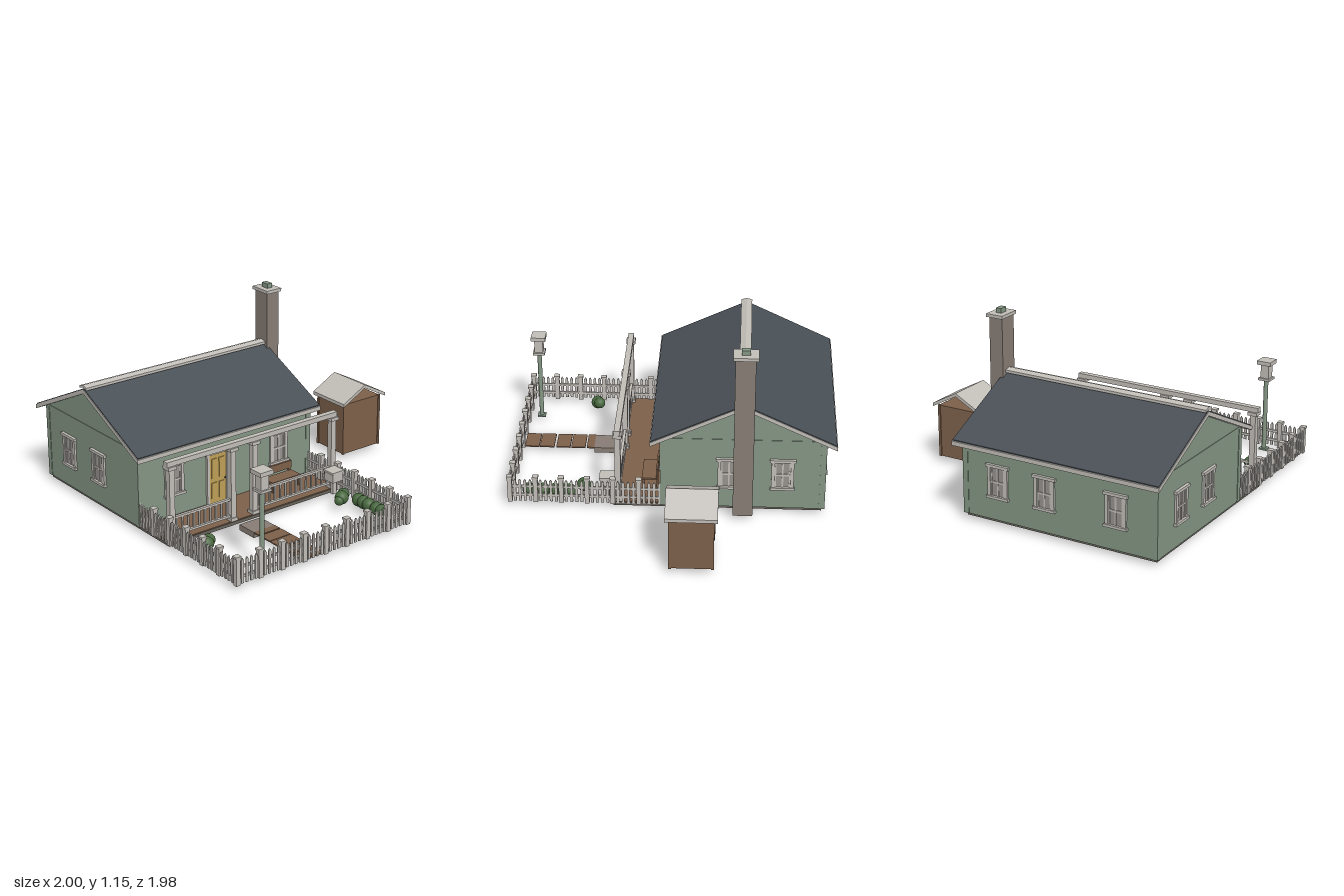
import * as THREE from 'three';

const mat = (name, color) => Object.assign(new THREE.MeshStandardMaterial({ color }), { name });

export function createModel() {
  const M = {
    wall: mat('sage wall', 0x849684), trim: mat('pale trim', 0xc2beb8), roof: mat('slate roof', 0x495056),
    wood: mat('brown wood', 0x7d604a), stone: mat('chimney stone', 0x877d75), door: mat('gold door', 0xbf9f57),
    glass: mat('window glass', 0x96928e), base: mat('foundation', 0x69635c), leaf: mat('foliage', 0x48683f),
    knob: mat('dark metal', 0x45423f),
  };
  const root = new THREE.Group();
  root.name = 'cottage';

  const group = (name, parent = root) => {
    const g = new THREE.Group();
    g.name = name;
    parent.add(g);
    return g;
  };
  const add = (parent, name, geo, m, x = 0, y = 0, z = 0) => {
    const mesh = new THREE.Mesh(geo, m);
    mesh.name = name;
    mesh.position.set(x, y, z);
    parent.add(mesh);
    return mesh;
  };
  // box given by its limits on each axis
  const box = (parent, name, m, x0, x1, y0, y1, z0, z1) =>
    add(parent, name, new THREE.BoxGeometry(x1 - x0, y1 - y0, z1 - z0), m, (x0 + x1) / 2, (y0 + y1) / 2, (z0 + z1) / 2);
  // outline of [z, y] points swept from x0 to x1
  const prismX = (parent, name, m, pts, x0, x1) => {
    const g = new THREE.ExtrudeGeometry(new THREE.Shape(pts.map(p => new THREE.Vector2(...p))), { depth: x1 - x0, bevelEnabled: false });
    return add(parent, name, g.rotateY(-Math.PI / 2).translate(x1, 0, 0), m);
  };
  // inverted V: centre c, half span h, top at the ridge, drop per unit, thickness t
  const chevron = (c, h, ridge, slope, t) => [
    [c - h, ridge - slope * h - t], [c, ridge - t], [c + h, ridge - slope * h - t],
    [c + h, ridge - slope * h], [c, ridge], [c - h, ridge - slope * h]];

  // House body
  const house = group('house');
  const X0 = -0.96, X1 = 0.32, Z0 = -0.925, Z1 = 0.06, ZC = -0.433, SL = 0.475;
  box(house, 'foundation', M.base, -0.95, 0.31, 0.022, 0.042, -0.91, 0.345);
  prismX(house, 'walls', M.wall, [[Z0, 0.04], [Z1, 0.04], [Z1, 0.5], [ZC, 0.735], [Z0, 0.5]], X0, X1);
  for (const x of [X0, X1]) for (const z of [Z0, Z1]) {
    const sx = Math.sign(x - (X0 + X1) / 2), sz = Math.sign(z - ZC);
    add(house, 'cornerBoard', new THREE.BoxGeometry(0.035, 0.46, 0.035), M.wall, x - sx * 0.0145, 0.27, z - sz * 0.0145);
  }
  for (const x of [X0, X1]) box(house, 'gableBand', M.wall, x - 0.003, x + 0.003, 0.5, 0.512, Z0 + 0.02, Z1 - 0.02);

  // Roof
  const roof = group('roof');
  prismX(roof, 'roofBoards', M.trim, chevron(ZC, 0.555, 0.758, SL, 0.026), -1, 0.355);
  prismX(roof, 'roofShingles', M.roof, chevron(ZC, 0.55, 0.764, SL, 0.006), -0.996, 0.351);
  prismX(roof, 'ridgeCap', M.trim, chevron(ZC, 0.035, 0.786, 0.3, 0.016), -1, 0.355);

  // Chimney
  const chimney = group('chimney');
  box(chimney, 'chimneyStack', M.stone, 0.33, 0.42, 0.04, 1.1, -0.495, -0.376);
  box(chimney, 'chimneyCap', M.trim, 0.32, 0.432, 1.097, 1.117, -0.51, -0.363);
  box(chimney, 'chimneyPot', M.wall, 0.358, 0.394, 1.117, 1.146, -0.463, -0.41);

  // Windows, built facing +z and turned to their wall
  const addWindow = (x, z, turn) => {
    const w = group('window', house);
    box(w, 'glass', M.glass, -0.052, 0.052, 0.19, 0.365, 0, 0.004);
    for (const s of [-1, 1]) box(w, 'casing', M.trim, s * 0.057 - 0.01, s * 0.057 + 0.01, 0.185, 0.37, 0, 0.012);
    box(w, 'header', M.trim, -0.077, 0.077, 0.365, 0.383, 0, 0.018);
    box(w, 'sill', M.trim, -0.074, 0.074, 0.175, 0.191, 0, 0.02);
    box(w, 'meetingRail', M.trim, -0.05, 0.05, 0.27, 0.282, 0, 0.009);
    box(w, 'mullion', M.trim, -0.005, 0.005, 0.19, 0.365, 0, 0.008);
    for (const s of [-1, 1]) box(w, 'sashSide', M.trim, s * 0.042 - 0.004, s * 0.042 + 0.004, 0.19, 0.365, 0, 0.008);
    w.position.set(x, 0, z);
    w.rotation.y = turn;
  };
  for (const x of [-0.71, 0.07]) addWindow(x, Z1, 0);
  for (const x of [-0.70, -0.235, 0.08]) addWindow(x, Z0, Math.PI);
  for (const z of [-0.35, -0.67]) {
    addWindow(X1, z, Math.PI / 2);
    addWindow(X0, z, -Math.PI / 2);
  }

  // Front door
  const door = group('frontDoor');
  box(door, 'doorLeaf', M.door, -0.46, -0.335, 0.045, 0.365, Z1, Z1 + 0.01);
  for (const [y0, y1] of [[0.075, 0.18], [0.21, 0.335]])
    for (const x of [-0.425, -0.37]) box(door, 'doorPanel', M.door, x - 0.019, x + 0.019, y0, y1, Z1, Z1 + 0.015);
  for (const x of [-0.468, -0.327]) box(door, 'doorCasing', M.trim, x - 0.009, x + 0.009, 0.045, 0.37, Z1, Z1 + 0.015);
  box(door, 'doorHeader', M.trim, -0.485, -0.31, 0.365, 0.383, Z1, Z1 + 0.02);
  add(door, 'doorKnob', new THREE.SphereGeometry(0.006, 10, 8), M.knob, -0.345, 0.195, Z1 + 0.017);

  // Porch: deck, posts, beam, railings
  const porch = group('porch');
  box(porch, 'porchDeck', M.wood, -0.945, 0.305, 0.034, 0.046, Z1, 0.34);
  const posts = [-0.915, -0.48, -0.32, 0.28], PZ = 0.318;
  for (const x of posts) {
    box(porch, 'porchPost', M.trim, x - 0.018, x + 0.018, 0.045, 0.515, PZ - 0.018, PZ + 0.018);
    box(porch, 'postCap', M.trim, x - 0.029, x + 0.029, 0.487, 0.508, PZ - 0.029, PZ + 0.029);
    box(porch, 'postFoot', M.trim, x - 0.025, x + 0.025, 0.045, 0.065, PZ - 0.025, PZ + 0.025);
  }
  box(porch, 'porchBeam', M.trim, -0.948, 0.305, 0.508, 0.538, PZ - 0.018, PZ + 0.018);
  for (const [a, b] of [[posts[0], posts[1]], [posts[2], posts[3]]]) {
    for (const y of [0.075, 0.18]) box(porch, 'handrail', M.trim, a, b, y - 0.007, y + 0.007, PZ - 0.009, PZ + 0.009);
    const n = Math.round((b - a) / 0.04);
    for (let i = 1; i < n; i++) {
      const x = a + (b - a) * i / n;
      box(porch, 'baluster', M.trim, x - 0.005, x + 0.005, 0.075, 0.18, PZ - 0.005, PZ + 0.005);
    }
  }

  // Porch bench
  const bench = group('bench');
  box(bench, 'benchSeat', M.wood, -0.07, 0.15, 0.105, 0.117, 0.09, 0.183);
  box(bench, 'benchBack', M.wood, -0.07, 0.15, 0.13, 0.18, 0.085, 0.095);
  for (const x of [-0.055, 0.135]) {
    box(bench, 'benchFrontLeg', M.wood, x - 0.007, x + 0.007, 0.045, 0.105, 0.165, 0.179);
    box(bench, 'benchBackLeg', M.wood, x - 0.007, x + 0.007, 0.045, 0.175, 0.083, 0.095);
  }

  // Picket fence
  const fence = group('fence');
  const FX0 = -0.945, FX1 = 0.305, FZ = 0.973, STEP = 0.15625;
  const ps = new THREE.Shape([[-0.0085, 0.04], [0.0085, 0.04], [0.0085, 0.178], [0, 0.192], [-0.0085, 0.178]].map(p => new THREE.Vector2(...p)));
  const picketGeo = new THREE.ExtrudeGeometry(ps, { depth: 0.008, bevelEnabled: false }).translate(0, 0, 0.004);
  const fenceRun = (name, length, first) => {
    const run = group(name, fence);
    for (const y of [0.078, 0.138]) box(run, 'fenceRail', M.trim, 0, length, y - 0.008, y + 0.008, -0.005, 0.005);
    for (let i = 0; i * STEP <= length + 0.01; i++) {
      const x = i * STEP;
      if (i >= first) {
        box(run, 'fencePost', M.trim, x - 0.014, x + 0.014, 0.033, 0.2, -0.014, 0.014);
        box(run, 'fencePostCap', M.trim, x - 0.018, x + 0.018, 0.197, 0.21, -0.018, 0.018);
      }
      for (let k = 1; k < 5; k++)
        if (x + k * STEP / 5 < length) add(run, 'picket', picketGeo, M.trim, x + k * STEP / 5);
    }
    return run;
  };
  fenceRun('frontFence', FX1 - FX0, 0).position.set(FX0, 0, FZ);
  const left = fenceRun('leftFence', FZ - Z1, 1);
  left.position.set(FX1, 0, FZ);
  left.rotation.y = Math.PI / 2;
  const right = fenceRun('rightFence', FZ - Z1, 1);
  right.position.set(FX0, 0, FZ);
  right.rotation.y = Math.PI / 2;
  right.scale.z = -1;

  // Front step and path
  const path = group('path');
  box(path, 'frontStep', M.stone, -0.475, -0.32, 0, 0.036, 0.383, 0.518);
  for (const [a, b] of [[0.518, 0.566], [0.575, 0.665], [0.671, 0.761], [0.774, 0.866], [0.87, 0.962]])
    box(path, 'pathSlab', M.wood, -0.475, -0.32, 0.03, 0.038, a, b);

  // Birdhouse on a pole
  const bird = group('birdhouse');
  const square = (g, n, m, x, z, h, y0, y1) => box(g, n, m, x - h, x + h, y0, y1, z - h, z + h);
  add(bird, 'pole', new THREE.CylinderGeometry(0.014, 0.014, 0.47, 16), M.wall, -0.713, 0.27, 0.897);
  square(bird, 'poleFoot', M.wall, -0.713, 0.897, 0.026, 0.035, 0.045);
  square(bird, 'birdhouseFloor', M.trim, -0.713, 0.897, 0.038, 0.503, 0.518);
  square(bird, 'birdhouseBody', M.trim, -0.713, 0.897, 0.027, 0.518, 0.607);
  square(bird, 'birdhouseRoof', M.trim, -0.713, 0.897, 0.046, 0.607, 0.632);

  // Letter box by the porch
  const post = group('letterBox');
  square(post, 'letterBoxPost', M.trim, 0.24, 0.387, 0.013, 0.036, 0.13);
  square(post, 'letterBoxBody', M.trim, 0.24, 0.387, 0.04, 0.125, 0.18);
  square(post, 'letterBoxLid', M.trim, 0.24, 0.387, 0.046, 0.18, 0.193);

  // Shrubs and hedge
  const garden = group('garden');
  const ball = (name, x, y, z, r) => add(garden, name, new THREE.SphereGeometry(r, 18, 12), M.leaf, x, y, z);
  for (const x of [-0.825, 0.177]) {
    ball('shrub', x, 0.08, 0.537, 0.042);
    ball('shrub', x + 0.027, 0.09, 0.522, 0.036);
    ball('shrub', x - 0.027, 0.07, 0.547, 0.03);
  }
  for (const z of [0.617, 0.663, 0.707, 0.777, 0.823, 0.865]) ball('hedge', 0.242, 0.076, z, 0.041);

  // Garden shed with an open gable
  const shed = group('shed');
  box(shed, 'shedWalls', M.wood, 0.672, 0.972, 0.04, 0.378, -0.275, -0.025);
  for (const x of [0.675, 0.969]) for (const z of [-0.272, -0.028])
    square(shed, 'shedCorner', M.wood, x, z, 0.008, 0.038, 0.38);
  prismX(shed, 'shedRoof', M.trim, chevron(0, 0.175, 0.487, 0.53, 0.022), -0.15, 0.15).rotation.y = Math.PI / 2;
  shed.children[shed.children.length - 1].position.set(0.825, 0, -0.149);

  return root;
}
